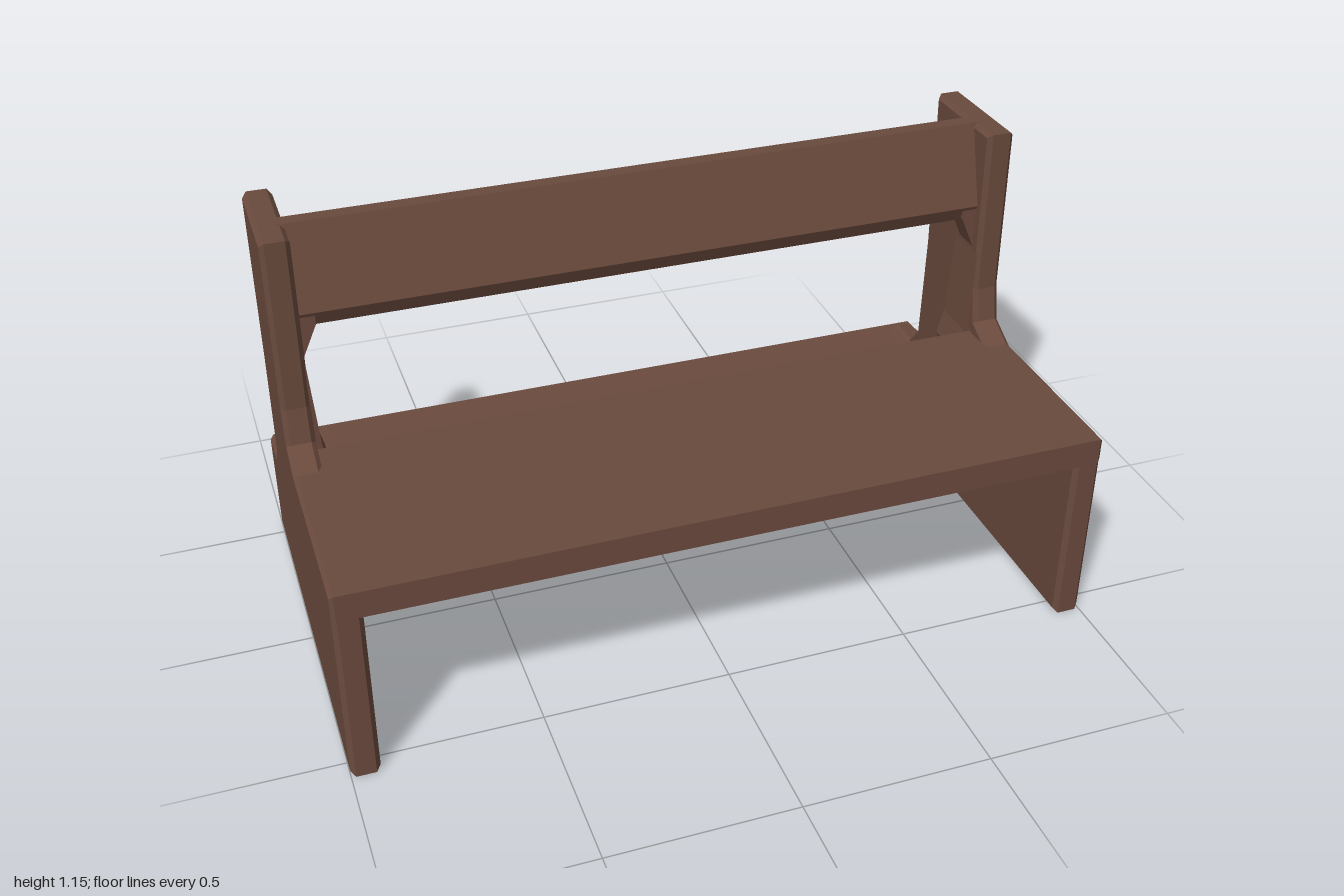
import * as THREE from 'three';

const wood = new THREE.MeshStandardMaterial({ color: 0x6a4a3d, flatShading: true });
wood.name = 'brown wood';

// Extrude a [z, y] outline along x, centred on x = 0, with small chamfers.
function beam(name, points, length, bevel) {
  const shape = new THREE.Shape(points.map(([z, y]) => new THREE.Vector2(z, y)));
  const geo = new THREE.ExtrudeGeometry(shape, {
    depth: length - 2 * bevel, bevelEnabled: bevel > 0,
    bevelSize: bevel, bevelOffset: -bevel, bevelThickness: bevel, bevelSegments: 1,
  });
  geo.translate(0, 0, -(length - 2 * bevel) / 2);
  geo.rotateY(-Math.PI / 2);
  const mesh = new THREE.Mesh(geo, wood);
  mesh.name = name;
  return mesh;
}

// Extrude an [x, y] outline from z0 to z1.
function brace(name, points, z0, z1) {
  const shape = new THREE.Shape(points.map(([x, y]) => new THREE.Vector2(x, y)));
  const geo = new THREE.ExtrudeGeometry(shape, { depth: z1 - z0, bevelEnabled: false });
  geo.translate(0, 0, z0);
  const mesh = new THREE.Mesh(geo, wood);
  mesh.name = name;
  return mesh;
}

export function createModel() {
  const bench = new THREE.Group();
  bench.name = 'bench';

  // Side panels: front leg, backrest post and rear step support in one outline
  const outline = [
    [0.555, 0], [0.555, 0.555], [0.05, 0.555], [-0.03, 0.597], [-0.05, 0.69],
    [-0.053, 1.155], [-0.365, 1.15], [-0.355, 0.7], [-0.368, 0.385], [-0.425, 0.318],
    [-0.555, 0.3], [-0.555, 0],
  ];
  for (const s of [1, -1]) {
    const panel = beam(s > 0 ? 'leftPanel' : 'rightPanel', outline, 0.075, 0.012);
    panel.position.x = s * 0.9625;
    bench.add(panel);

    // Corner braces flaring into the cross boards
    const side = s > 0 ? 'left' : 'right';
    const m = (pts) => pts.map(([x, y]) => [s * x, y]);
    bench.add(
      brace(side + 'BackrestBrace', m([[0.94, 0.78], [0.925, 0.81], [0.885, 0.9], [0.885, 0.95], [0.94, 0.95]]), -0.16, -0.085),
      brace(side + 'PostBrace', m([[0.94, 0.3], [0.925, 0.32], [0.89, 0.49], [0.908, 0.56], [0.925, 0.8], [0.94, 0.8]]), -0.18, -0.06),
      brace(side + 'StepBrace', m([[0.94, 0.195], [0.925, 0.205], [0.89, 0.235], [0.89, 0.285], [0.925, 0.315], [0.94, 0.32]]), -0.52, -0.1),
    );
  }

  // Seat board
  bench.add(beam('seat', [[0.555, 0.482], [0.555, 0.556], [-0.055, 0.556], [-0.055, 0.482]], 2, 0.01));

  // Rear step board
  bench.add(beam('rearStep', [[-0.08, 0.228], [-0.08, 0.297], [-0.555, 0.302], [-0.555, 0.228]], 2, 0.01));

  // Leaning backrest board
  bench.add(beam('backrest', [
    [-0.08, 0.935], [-0.145, 1.155], [-0.185, 1.155], [-0.15, 0.895], [-0.1, 0.893],
  ], 1.9, 0));

  return bench;
}
